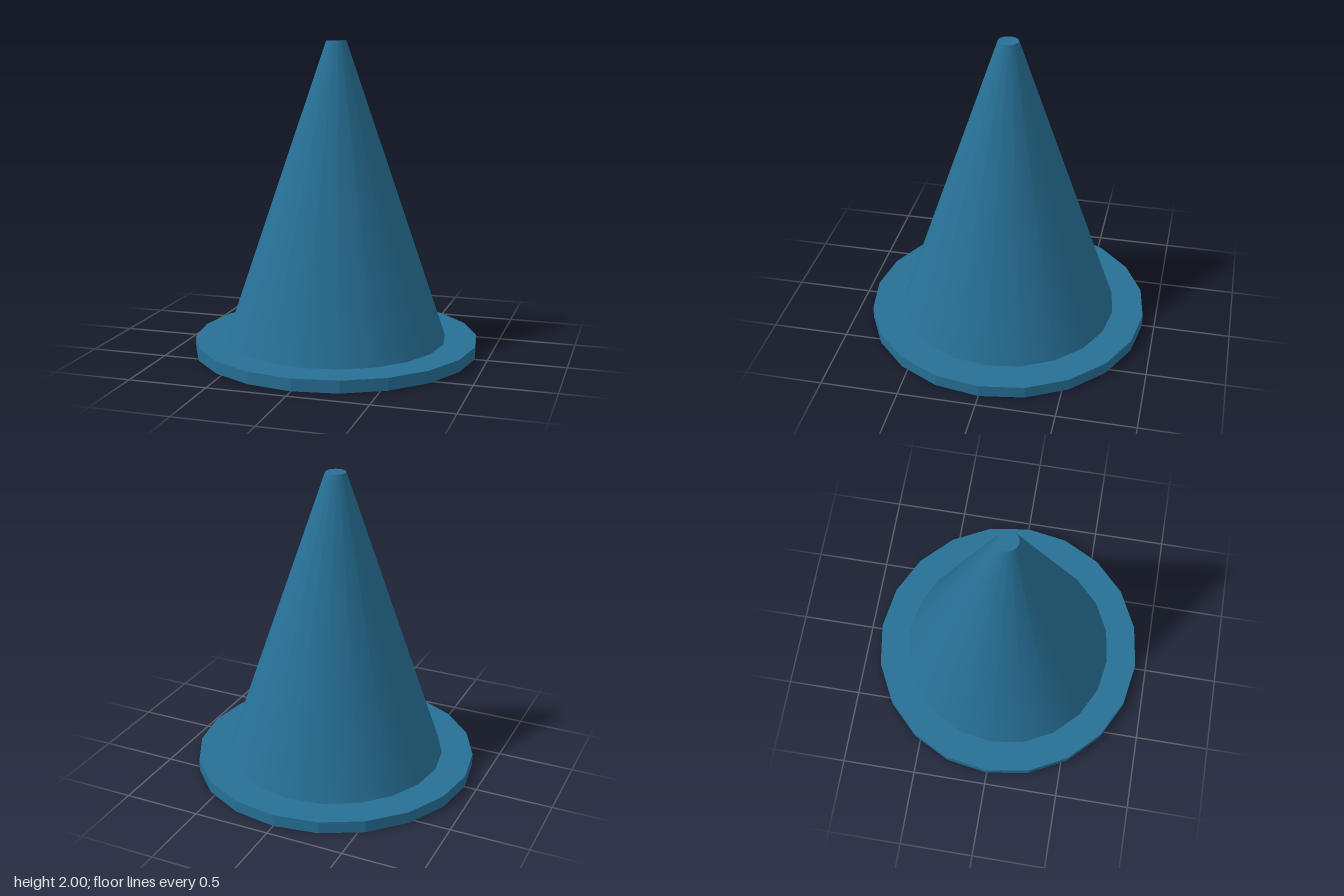
import * as THREE from 'three';

const SIDES = 20;

export function createModel() {
  const model = new THREE.Group();
  const blue = new THREE.MeshStandardMaterial({ color: 0x277096 });
  blue.name = 'blue';
  const black = new THREE.MeshStandardMaterial({ color: 0x0d0d0d });
  black.name = 'black';

  const add = (name, geometry, material, y) => {
    const mesh = new THREE.Mesh(geometry, material);
    mesh.name = name;
    mesh.position.y = y;
    model.add(mesh);
    return mesh;
  };

  // Faceted round foot; flat normals on its rim
  const foot = new THREE.CylinderGeometry(0.92, 0.92, 0.078, SIDES).toNonIndexed();
  foot.computeVertexNormals();
  add('foot', foot, blue, 0.041);

  // Smooth tapered body with a small flat tip
  add('cone', new THREE.CylinderGeometry(0.065, 0.715, 1.92, SIDES), blue, 1.04);

  // Dark round patch under the foot
  add('undersidePatch', new THREE.CircleGeometry(0.56, SIDES), black, 0).rotation.x = Math.PI / 2;

  return model;
}
